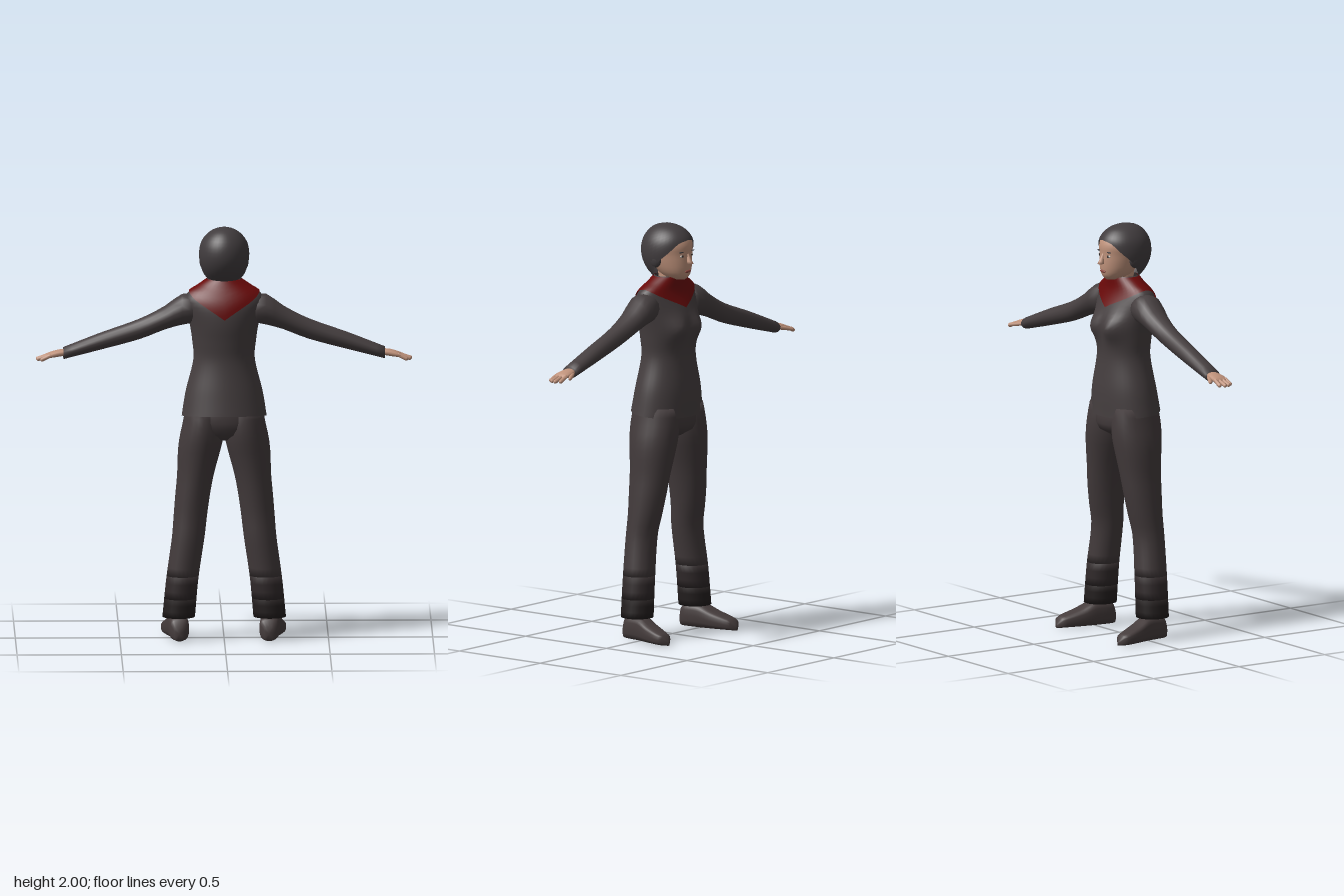
import * as THREE from 'three';

const mat = (name, color) => {
  const m = new THREE.MeshStandardMaterial({ color, side: THREE.DoubleSide });
  m.name = name;
  return m;
};

// Smooth interpolation of section rows, keyed by their first number
function sample(rows, k) {
  let i = 0;
  while (i < rows.length - 2 && k > rows[i + 1][0]) i++;
  const a = rows[i], b = rows[i + 1], p = rows[i - 1] || a, n = rows[i + 2] || b;
  const h = b[0] - a[0], t = (k - a[0]) / h, t2 = t * t, t3 = t2 * t;
  return a.map((v, c) => {
    const m0 = (b[c] - p[c]) / (b[0] - p[0]) * h;
    const m1 = (n[c] - a[c]) / (n[0] - a[0]) * h;
    return v * (2 * t3 - 3 * t2 + 1) + m0 * (t3 - 2 * t2 + t) + b[c] * (3 * t2 - 2 * t3) + m1 * (t3 - t2);
  });
}

// Closed rings of points fn(angle, t) skinned into a surface facing outward
function skin(fn, nu, nv, cap = false) {
  const pos = [], idx = [];
  for (let j = 0; j <= nv; j++)
    for (let i = 0; i < nu; i++) pos.push(...fn(i / nu * Math.PI * 2, j / nv));
  for (let j = 0; j < nv; j++)
    for (let i = 0; i < nu; i++) {
      const a = j * nu + i, b = j * nu + (i + 1) % nu;
      idx.push(a, a + nu, b, b, a + nu, b + nu);
    }
  if (cap) for (const j of [0, nv]) {
    const c = [0, 0, 0], id = pos.length / 3;
    for (let i = 0; i < nu; i++) for (let k = 0; k < 3; k++) c[k] += pos[(j * nu + i) * 3 + k] / nu;
    pos.push(...c);
    for (let i = 0; i < nu; i++) {
      const a = j * nu + i, b = j * nu + (i + 1) % nu;
      idx.push(...(j ? [id, b, a] : [id, a, b]));
    }
  }
  // Turn the faces outward when the enclosed volume is negative
  const mid = new THREE.Vector3(), v = [];
  for (let i = 0; i < pos.length; i += 3) v.push(new THREE.Vector3(pos[i], pos[i + 1], pos[i + 2]));
  v.forEach(p => mid.addScaledVector(p, 1 / v.length));
  v.forEach(p => p.sub(mid));
  let vol = 0;
  for (let i = 0; i < idx.length; i += 3) vol += v[idx[i]].dot(v[idx[i + 1]].clone().cross(v[idx[i + 2]]));
  if (vol < 0) idx.reverse();
  const g = new THREE.BufferGeometry();
  g.setAttribute('position', new THREE.Float32BufferAttribute(pos, 3));
  g.setIndex(idx);
  g.computeVertexNormals();
  return g;
}

// Upright section point: row = [y, centreX, halfWidth, zFront, zBack]
const upright = (rows, y, a, grow = 0) => {
  const [, cx, hw, zf, zb] = sample(rows, y);
  return [cx + (hw + grow) * Math.cos(a), y, (zf + zb) / 2 + ((zb - zf) / 2 + grow) * Math.sin(a)];
};
const column = (rows, nv, y0 = rows[0][0], y1 = rows[rows.length - 1][0], nu = 24) =>
  skin((a, t) => upright(rows, y0 + (y1 - y0) * t, a), nu, nv, true);

// Sideways section: row = [x, centreY, halfHeight, zFront, zBack]
const sideways = (rows, nv, nu = 16) => skin((a, t) => {
  const x = rows[0][0] + (rows[rows.length - 1][0] - rows[0][0]) * t;
  const [, cy, hy, zf, zb] = sample(rows, x);
  return [x, cy + hy * Math.cos(a), (zf + zb) / 2 + (zb - zf) / 2 * Math.sin(a)];
}, nu, nv, true);

function capsule(from, to, r) {
  const a = new THREE.Vector3(...from), b = new THREE.Vector3(...to), d = b.clone().sub(a);
  const g = new THREE.CapsuleGeometry(r, d.length(), 4, 8);
  g.applyQuaternion(new THREE.Quaternion().setFromUnitVectors(new THREE.Vector3(0, 1, 0), d.normalize()));
  return g.translate(...a.add(b).multiplyScalar(0.5).toArray());
}

const ball = (p, s) => new THREE.SphereGeometry(1, 14, 10).scale(...s).translate(...p);

function mirrored(geo) {
  const g = geo.clone().scale(-1, 1, 1);
  g.setIndex(Array.from(g.index.array).reverse());
  g.computeVertexNormals();
  return g;
}

const TORSO = [
  [1.075, 0, .205, -.11, .185], [1.2, 0, .185, -.108, .165], [1.36, 0, .147, -.093, .142],
  [1.45, 0, .153, -.098, .148], [1.53, 0, .165, -.1, .157], [1.6, 0, .182, -.078, .155],
  [1.65, 0, .19, -.055, .142], [1.69, 0, .168, -.042, .12], [1.72, 0, .12, -.04, .1], [1.75, 0, .075, -.04, .085]];
const LEG = [
  [.11, .218, .078, -.04, .12], [.3, .2, .077, -.035, .122], [.5, .172, .078, -.027, .125],
  [.6, .162, .08, -.047, .122], [.7, .151, .083, -.065, .125], [.8, .137, .088, -.078, .13],
  [.9, .122, .1, -.092, .14], [.97, .11, .105, -.1, .15], [1.05, .1, .098, -.1, .152], [1.12, .095, .09, -.09, .14]];
const PELVIS = [[.97, 0, .05, -.04, .08], [1, 0, .14, -.09, .13], [1.05, 0, .19, -.1, .15], [1.15, 0, .175, -.09, .14]];
const HEAD = [
  [1.735, 0, .03, -.075, .03], [1.75, 0, .055, -.09, .05], [1.78, 0, .075, -.098, .08], [1.82, 0, .088, -.1, .11],
  [1.86, 0, .095, -.098, .12], [1.9, 0, .1, -.098, .12], [1.94, 0, .088, -.08, .11], [1.97, 0, .05, -.04, .08]];
const NECK = [[1.66, 0, .065, -.04, .08], [1.72, 0, .055, -.045, .07], [1.79, 0, .055, -.045, .08]];
const HAIR = [
  [1.74, 0, .08, -.06, .09], [1.78, 0, .102, -.08, .13], [1.83, 0, .117, -.092, .156], [1.88, 0, .12, -.1, .162],
  [1.93, 0, .108, -.094, .15], [1.97, 0, .076, -.06, .12], [1.99, 0, .042, -.018, .085], [2, 0, .003, .03, .036]];
const HAIRLINE = [[0, 1.928], [.5, 1.915], [.95, 1.865], [1.35, 1.82], [1.7, 1.775], [2.1, 1.752], [3.15, 1.742]];
const ARM = [
  [.12, 1.605, .065, -.03, .1], [.2, 1.6, .075, -.045, .11], [.28, 1.56, .058, -.04, .09],
  [.4, 1.505, .05, -.03, .07], [.6, 1.44, .041, -.035, .056], [.77, 1.384, .029, -.038, .048]];
const PALM = [[.755, 1.388, .015, -.022, .033], [.79, 1.384, .017, -.034, .04], [.83, 1.376, .014, -.036, .045], [.85, 1.371, .008, -.034, .043]];
const SHOE = [ // z, centreX, halfWidth, height
  [-.187, .258, .008, .02], [-.175, .258, .03, .045], [-.14, .255, .045, .06], [-.07, .24, .052, .085],
  [0, .225, .05, .115], [.09, .215, .045, .105], [.112, .215, .025, .07]];

export function createModel() {
  const jacket = mat('charcoal jacket', 0x453e3f), trousers = mat('charcoal trousers', 0x423a3b);
  const fade = mat('shaded cuff', 0x30292a), cuff = mat('dark cuff', 0x231e1e);
  const red = mat('dark red scarf', 0x680909), flesh = mat('skin', 0xbf927b);
  const hair = mat('dark hair', 0x413c3e), lip = mat('lips', 0x8c4840);
  const white = mat('eye white', 0xc9bdb4), shoe = mat('shoe leather', 0x453c3c);

  const model = new THREE.Group();
  model.name = 'standingWoman';
  const add = (name, geo, m) => {
    const mesh = new THREE.Mesh(geo, m);
    mesh.name = name;
    model.add(mesh);
  };
  const pair = (name, geo, m) => {
    add(name + 'Left', geo, m);
    add(name + 'Right', mirrored(geo), m);
  };

  // Jacket body, the bust pushed forward on the -z side
  const torso = (y, a, grow) => {
    const p = upright(TORSO, y, a, grow);
    if (Math.sin(a) < 0) {
      const dx = (Math.abs(p[0]) - .07) / .05, dy = (y - 1.5) / .055;
      p[2] -= .034 * Math.exp(-dx * dx - dy * dy);
    }
    return p;
  };
  add('jacketBody', skin((a, t) => {
    const hem = 1.085 + .015 * Math.sin(a);
    return torso(hem + (1.75 - hem) * t, a);
  }, 40, 30), jacket);
  pair('sleeve', sideways(ARM, 16), jacket);

  // Scarf following the shoulders, pointed at the back and the chest
  add('scarf', skin((a, t) => {
    const tip = Math.sin(a) > 0 ? 1.565 : 1.6;
    const low = tip + (1.695 - tip) * Math.abs(Math.cos(a));
    return torso(low + (1.748 - low) * t, a, .007);
  }, 40, 8), red);

  // Trousers, darkening toward the cuffs
  add('trouserSeat', column(PELVIS, 6), trousers);
  pair('trouserLeg', column(LEG, 20, .31, 1.12), trousers);
  pair('trouserFade', column(LEG, 3, .2, .31), fade);
  pair('trouserCuff', column(LEG, 3, .11, .2), cuff);

  // Shoes with flattened soles, toes turned out
  const soft = v => Math.sign(v) * Math.abs(v) ** .65;
  pair('shoe', skin((a, t) => {
    const z = -.187 + .299 * t, [, cx, hw, h] = sample(SHOE, z);
    return [cx + hw * soft(Math.cos(a)), h / 2 + h / 2 * soft(Math.sin(a)), z];
  }, 20, 18, true), shoe);

  // Hands
  pair('palm', sideways(PALM, 6, 12), flesh);
  [[-.027, .877], [-.006, .892], [.016, .889], [.037, .872]].forEach(([z, x], i) =>
    pair('finger' + (i + 1), capsule([.835, 1.375, z * .9], [x, 1.357, z], .0095), flesh));
  pair('thumb', capsule([.785, 1.38, -.026], [.838, 1.37, -.053], .0095), flesh);

  // Head, neck and nose
  add('neck', column(NECK, 5), flesh);
  add('face', column(HEAD, 18), flesh);
  add('nose', skin((a, t) => {
    const r = .004 + .012 * t;
    return [r * Math.cos(a), 1.865 - .05 * t, -.094 - .016 * t + r * Math.sin(a)];
  }, 10, 4, true), flesh);

  // Hair cap with a hairline low at the nape and high over the forehead
  add('hair', skin((a, t) => {
    const fromFront = Math.acos(THREE.MathUtils.clamp(-Math.sin(a), -1, 1));
    const low = sample(HAIRLINE, fromFront)[1];
    return upright(HAIR, low + (2 - low) * Math.sin(t * Math.PI / 2), a);
  }, 40, 16), hair);
  pair('hairOverEar', ball([.1, 1.835, .025], [.018, .04, .035]), hair);

  // Facial features
  pair('eye', ball([.035, 1.853, -.087], [.014, .0065, .006]), white);
  pair('iris', ball([.034, 1.853, -.091], [.006, .006, .004]), cuff);
  pair('eyebrow', ball([.037, 1.873, -.088], [.019, .0035, .006]), hair);
  add('mouth', ball([0, 1.777, -.096], [.022, .007, .007]), lip);

  return model;
}
